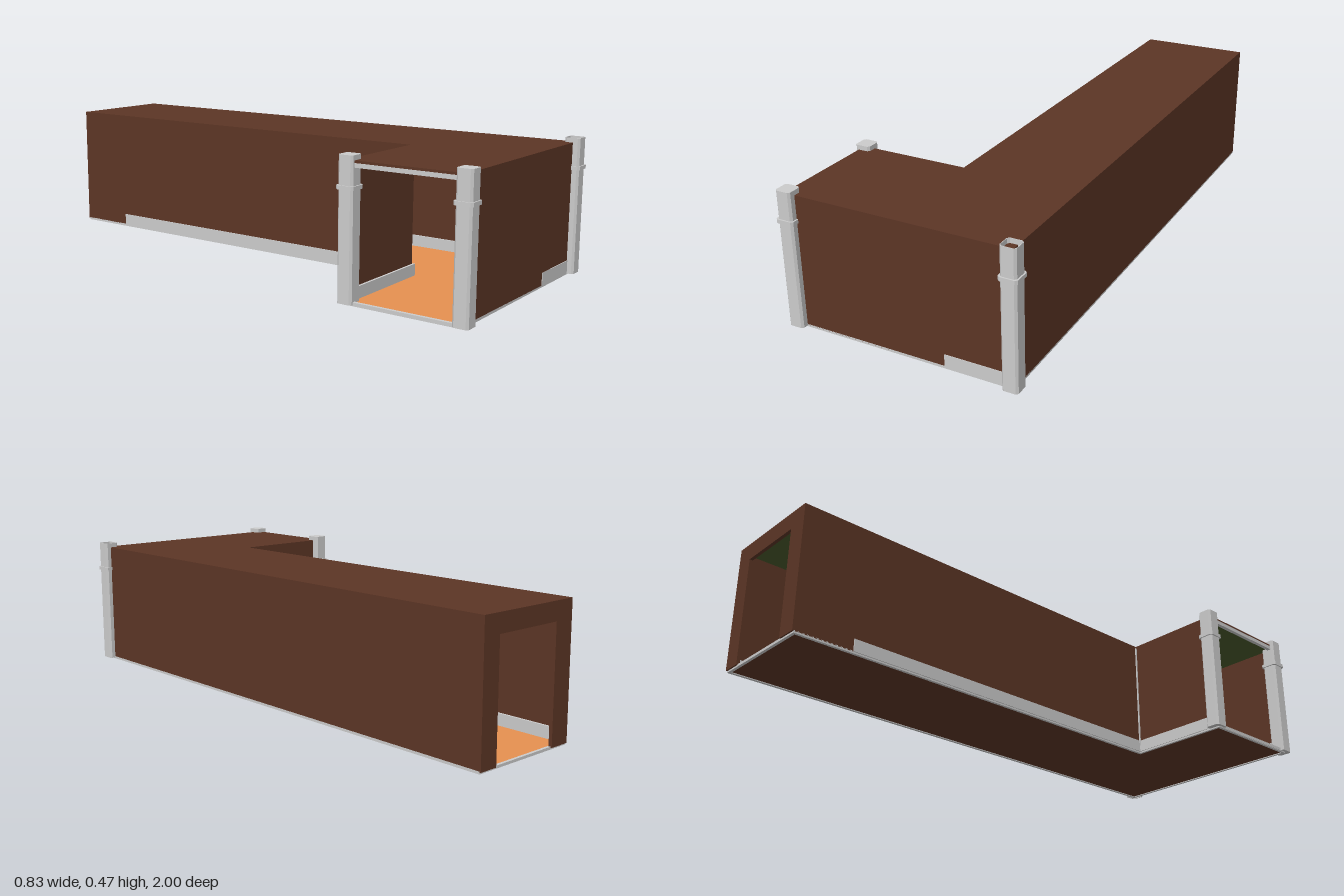
import * as THREE from 'three';

const mat = (color, side = THREE.FrontSide) => new THREE.MeshStandardMaterial({ color, side });

export function createModel() {
  const model = new THREE.Group();
  const brown = mat(0x5c3525), grey = mat(0xcccccc), orange = mat(0xe69050), green = mat(0x4a5a2c);
  const greyOpen = mat(0xcccccc, THREE.DoubleSide);

  const add = (name, geometry, material) => {
    const mesh = new THREE.Mesh(geometry, material);
    mesh.name = name;
    model.add(mesh);
    return mesh;
  };
  // box given by its limits on each axis
  const box = (name, material, [x0, x1], [y0, y1], [z0, z1]) =>
    add(name, new THREE.BoxGeometry(x1 - x0, y1 - y0, z1 - z0), material)
      .position.set((x0 + x1) / 2, (y0 + y1) / 2, (z0 + z1) / 2);

  // L-shaped plan, inset by d
  const plan = (d) => [
    [-0.4 + d, 0.97 - d], [0.39 - d, 0.97 - d], [0.39 - d, -0.995 + d],
    [-0.015 + d, -0.995 + d], [-0.015 + d, 0.56 + d], [-0.4 + d, 0.56 + d],
  ].map(([x, z]) => new THREE.Vector2(x, -z));
  const slab = (name, material, inset, y0, y1, holeInset) => {
    const shape = new THREE.Shape(plan(inset));
    if (holeInset) shape.holes.push(new THREE.Path(plan(holeInset)));
    const g = new THREE.ExtrudeGeometry(shape, { depth: y1 - y0, bevelEnabled: false });
    add(name, g.rotateX(-Math.PI / 2).translate(0, y0, 0), material);
  };

  // floor, its rim, ceiling and roof
  slab('floorUnderside', brown, 0.01, 0.003, 0.006);
  slab('floor', orange, 0.01, 0.006, 0.009);
  slab('floorRim', grey, 0, 0, 0.009, 0.01);
  slab('ceiling', green, 0.008, 0.444, 0.448);
  slab('roof', brown, 0, 0.448, 0.458);

  // walls
  const t = 0.01, wallY = [0.006, 0.45];
  box('frontWall', brown, [-0.39, 0.39], wallY, [0.97 - t, 0.97]);
  box('rightWall', brown, [0.39 - t, 0.39], wallY, [-0.99, 0.97]);
  box('innerSideWall', brown, [-0.015, -0.015 + t], wallY, [-0.99, 0.56 + t]);
  box('innerBackWall', brown, [-0.39, -0.015 + t], wallY, [0.56, 0.56 + t]);

  // end wall with a doorway
  const end = new THREE.Shape([[-0.015, 0.006], [0.06, 0.006], [0.06, 0.395], [0.322, 0.395],
    [0.322, 0.006], [0.39, 0.006], [0.39, 0.458], [-0.015, 0.458]].map((p) => new THREE.Vector2(...p)));
  add('doorwayWall', new THREE.ExtrudeGeometry(end, { depth: 0.012, bevelEnabled: false }), brown)
    .position.z = -1;

  // skirting boards inside
  const s = 0.008, skirtY = [0.006, 0.05];
  box('frontSkirting', grey, [-0.39, 0.38], skirtY, [0.96 - s, 0.96]);
  box('rightSkirting', grey, [0.38 - s, 0.38], skirtY, [-0.98, 0.96]);
  box('innerSideSkirting', grey, [-0.005, -0.005 + s], skirtY, [-0.98, 0.57 + s]);
  box('innerBackSkirting', grey, [-0.39, -0.005 + s], skirtY, [0.57, 0.57 + s]);

  // skirting strips showing outside
  box('frontStrip', grey, [0.152, 0.37], skirtY, [0.968, 0.972]);
  box('innerSideStrip', grey, [-0.018, -0.013], skirtY, [-0.78, 0.56]);
  box('innerBackStrip', grey, [-0.39, -0.015], skirtY, [0.557, 0.562]);
  box('cornerTrim', grey, [-0.02, -0.014], wallY, [0.555, 0.561]);

  // open end: lintel and sill
  box('lintel', grey, [-0.402, -0.388], [0.436, 0.45], [0.57, 0.96]);
  box('sill', grey, [-0.402, -0.39], [0.002, 0.013], [0.57, 0.96]);

  // corner posts with chamfered edges and a collar
  const outline = (h, c) => [[h, c - h], [h, h - c], [h - c, h], [c - h, h],
    [-h, h - c], [-h, c - h], [c - h, -h], [h - c, -h]].map((p) => new THREE.Vector2(...p));
  const prism = (h, y0, y1, hole) => {
    const shape = new THREE.Shape(outline(h, 0.007));
    if (hole) shape.holes.push(new THREE.Path(outline(hole, 0.006)));
    return new THREE.ExtrudeGeometry(shape, { depth: y1 - y0, bevelEnabled: false })
      .rotateX(-Math.PI / 2).translate(0, y0, 0);
  };
  const post = (name, x, z, hollow) => {
    const g = new THREE.Group();
    g.name = name;
    const shaft = new THREE.Mesh(prism(0.027, 0.004, 0.474, hollow && 0.025), greyOpen);
    shaft.name = 'shaft';
    const collar = new THREE.Mesh(prism(0.032, 0.366, 0.379, 0.026), grey);
    collar.name = 'collar';
    g.add(shaft, collar);
    g.position.set(x, 0, z);
    model.add(g);
  };
  post('frontRightPost', -0.386, 0.967, false);
  post('backRightPost', -0.386, 0.565, false);
  post('frontLeftPost', 0.384, 0.967, true);

  return model;
}
